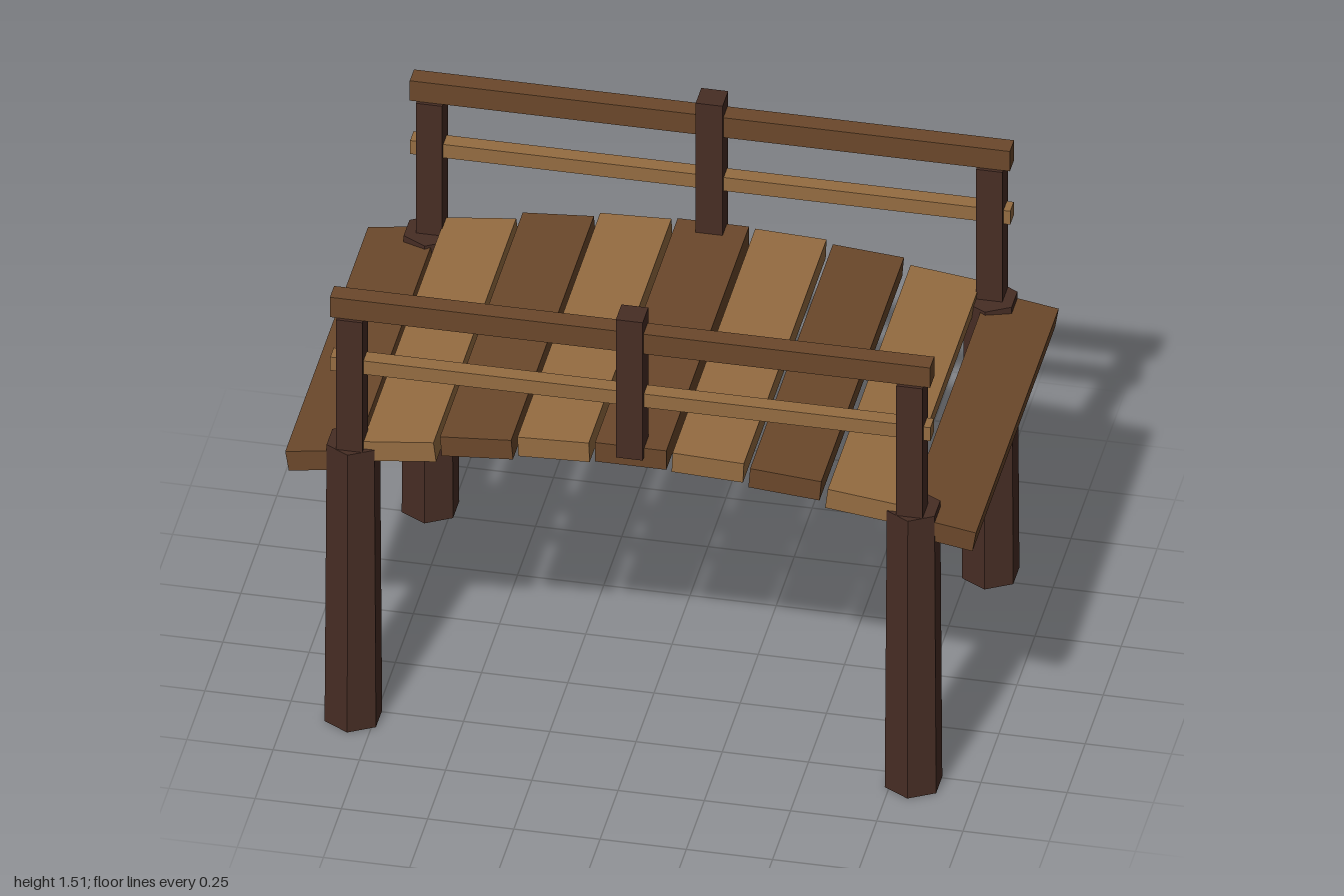
import * as THREE from 'three';

const darkWood = new THREE.MeshStandardMaterial({ name: 'darkWood', color: 0x472d24 });
const midWood = new THREE.MeshStandardMaterial({ name: 'midWood', color: 0x6b482b });
const lightWood = new THREE.MeshStandardMaterial({ name: 'lightWood', color: 0x956c41 });

export function createModel() {
  const model = new THREE.Group();
  model.name = 'footbridge';

  const add = (name, geometry, material, x, y, z) => {
    const mesh = new THREE.Mesh(geometry, material);
    mesh.name = name;
    mesh.position.set(x, y, z);
    model.add(mesh);
    return mesh;
  };
  const box = (name, w, h, d, material, x, y, z) =>
    add(name, new THREE.BoxGeometry(w, h, d), material, x, y, z);

  // Arched deck of nine planks in alternating tones
  for (let i = -4; i <= 4; i++) {
    const x = i * 0.2235;
    const y = 1.033 - 0.175 * x * x;
    const plank = box('deckPlank', 0.207, 0.065, 1.15, i % 2 ? lightWood : midWood, x, y, 0);
    plank.rotation.z = -0.04 * i;
  }

  // Tapered six-sided support, corners pointing along z
  const pile = new THREE.CylinderGeometry(0.08, 0.086, 0.95, 6).toNonIndexed();
  pile.computeVertexNormals();

  for (const side of [1, -1]) {
    const z = side * 0.555;
    for (const end of [1, -1]) {
      add('supportPile', pile, darkWood, end * 0.812, 0.475, side * 0.536);
      box('endRailPost', 0.076, 0.466, 0.078, darkWood, end * 0.812, 1.163, z);
    }
    // Taller middle post and the two rails
    box('middleRailPost', 0.078, 0.474, 0.078, darkWood, 0, 1.273, z);
    box('topRail', 1.74, 0.068, 0.058, midWood, 0, 1.43, z);
    box('lowerRail', 1.74, 0.046, 0.048, lightWood, 0, 1.232, z);
  }
  return model;
}
